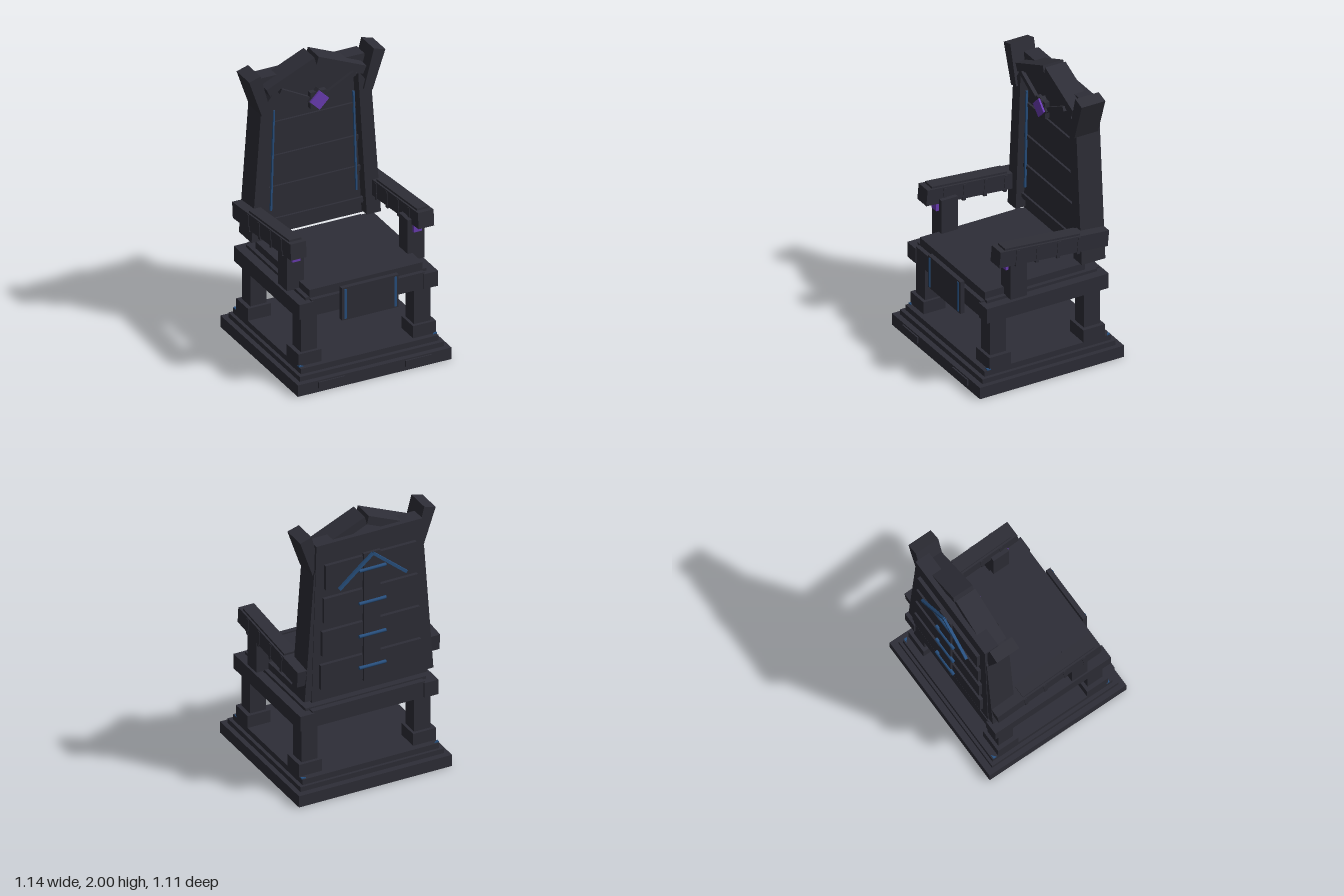
import * as THREE from 'three';

const stone = new THREE.MeshStandardMaterial({ color: 0x2e2e37 });
stone.name = 'darkStone';
const blue = new THREE.MeshStandardMaterial({ color: 0x28507f });
blue.name = 'blueInlay';
const purple = new THREE.MeshStandardMaterial({ color: 0x6c3db5 });
purple.name = 'purpleGem';

export function createModel() {
  const root = new THREE.Group();
  root.name = 'throne';

  const add = (name, geo, mat = stone, parent = root) => {
    const m = new THREE.Mesh(geo, mat);
    m.name = name;
    parent.add(m);
    return m;
  };
  // Box from its limits on each axis
  const box = (name, x0, x1, y0, y1, z0, z1, mat = stone, parent = root) => {
    const m = add(name, new THREE.BoxGeometry(x1 - x0, y1 - y0, z1 - z0), mat, parent);
    m.position.set((x0 + x1) / 2, (y0 + y1) / 2, (z0 + z1) / 2);
    return m;
  };
  // Polygon in the front plane, extruded from z0 to z1
  const plate = (name, pts, z0, z1, mat = stone) => {
    const shape = new THREE.Shape(pts.map(([x, y]) => new THREE.Vector2(x, y)));
    const geo = new THREE.ExtrudeGeometry(shape, { depth: z1 - z0, bevelEnabled: false });
    const m = add(name, geo, mat);
    m.position.z = z0;
    return m;
  };
  // Straight bar between two points of the front plane
  const bar = (name, x0, y0, x1, y1, width, z0, z1, mat = stone) => {
    const m = add(name, new THREE.BoxGeometry(Math.hypot(x1 - x0, y1 - y0), width, z1 - z0), mat);
    m.position.set((x0 + x1) / 2, (y0 + y1) / 2, (z0 + z1) / 2);
    m.rotation.z = Math.atan2(y1 - y0, x1 - x0);
    return m;
  };

  // Stepped base
  box('baseSlab', -0.57, 0.57, 0, 0.085, -0.555, 0.545);
  box('baseStep', -0.535, 0.535, 0.085, 0.12, -0.51, 0.505);
  box('baseTop', -0.51, 0.51, 0.12, 0.16, -0.49, 0.475);

  // Seat frame, cushion slab and front apron
  box('seatFrame', -0.42, 0.42, 0.52, 0.64, -0.46, 0.45);
  box('seatLedge', -0.45, 0.45, 0.63, 0.65, -0.42, 0.42);
  box('seat', -0.42, 0.42, 0.65, 0.70, -0.345, 0.42);
  box('apron', -0.21, 0.21, 0.45, 0.69, 0.45, 0.483);

  // Backrest panel and its recessed front
  plate('backPanel', [[-0.43, 0.715], [0.43, 0.715], [0.395, 1.895], [-0.395, 1.895]], -0.47, -0.36);
  plate('backInset', [[-0.36, 0.83], [0.36, 0.83], [0.29, 1.82], [-0.29, 1.82]], -0.36, -0.34);
  [[0.83, 0.38], [1.07, 0.35], [1.30, 0.335], [1.55, 0.315]].forEach(([y, w]) => {
    box('backRib', -w, w, y - 0.015, y + 0.015, -0.345, -0.325);
    box('backRibLip', -w, w, y - 0.03, y - 0.015, -0.345, -0.333);
  });

  for (const s of [-1, 1]) {
    const mir = (pts) => pts.map(([x, y]) => [s * x, y]);
    const mbox = (name, x0, x1, ...r) => box(name, Math.min(s * x0, s * x1), Math.max(s * x0, s * x1), ...r);

    mbox('basePlaque', 0.225, 0.42, 0.03, 0.075, 0.54, 0.555);
    mbox('apronInlay', 0.177, 0.193, 0.46, 0.68, 0.48, 0.488, blue);
    mbox('sideRail', 0.41, 0.515, 0.52, 0.63, -0.47, 0.46);

    // Legs, feet and blue corner triangles
    for (const f of [-1, 1]) {
      const zc = f > 0 ? 0.355 : -0.362;
      mbox('leg', 0.36, 0.48, 0.16, 0.53, zc - 0.06, zc + 0.06);
      mbox('foot', 0.34, 0.51, 0.16, 0.25, zc - 0.083, zc + 0.083);
      const zo = f > 0 ? 0.452 : -0.482;
      const tri = new THREE.Shape([
        new THREE.Vector2(s * 0.512, -zo),
        new THREE.Vector2(s * 0.48, -zo),
        new THREE.Vector2(s * 0.512, -zo + f * 0.025),
      ]);
      const corner = add('cornerInlay', new THREE.ExtrudeGeometry(tri, { depth: 0.008, bevelEnabled: false }), blue);
      corner.rotation.x = -Math.PI / 2;
      corner.position.y = 0.16;
    }

    // Sloping armrest with pad, bands and post
    mbox('armPost', 0.385, 0.51, 0.645, 0.95, 0.15, 0.275);
    mbox('armGem', 0.42, 0.48, 0.86, 0.925, 0.275, 0.295, purple);
    const arm = new THREE.Group();
    arm.name = 'armrest';
    arm.position.set(s * 0.473, 0.945, -0.045);
    arm.rotation.x = -0.088;
    root.add(arm);
    box('armBeam', -0.058, 0.058, -0.058, 0.058, -0.415, 0.415, stone, arm);
    box('armPad', -0.045, 0.045, 0.058, 0.072, -0.2, 0.375, stone, arm);
    for (const z of [0.28, 0.125, -0.035, -0.19]) {
      box('armBand', -0.062, 0.062, -0.07, 0.05, z - 0.012, z + 0.012, stone, arm);
    }

    // Leaning back post, flared horn and front inlay
    plate('backPost', mir([[0.375, 0.73], [0.48, 0.73], [0.41, 1.68], [0.31, 1.82]]), -0.465, -0.285);
    plate('horn', mir([[0.345, 1.68], [0.41, 1.662], [0.505, 1.94], [0.42, 1.965]]), -0.45, -0.27);
    bar('backInlay', s * 0.317, 0.915, s * 0.295, 1.655, 0.012, -0.33, -0.315, blue);

    // Gable beam and V shaped trim towards the gem
    plate('gableBeam', mir([[0, 1.94], [0.015, 2.0], [0.37, 1.845], [0.345, 1.79]]), -0.435, -0.28);
    bar('gemTrim', s * 0.275, 1.82, s * 0.05, 1.7, 0.035, -0.29, -0.262);

    // Blue chevron on the rear
    bar('rearChevron', 0, 1.765, s * 0.25, 1.555, 0.02, -0.527, -0.508, blue);
  }
  // Filled pediment behind the gem
  plate('pediment', [[-0.31, 1.8], [-0.06, 1.64], [0.06, 1.64], [0.31, 1.8], [0, 1.95]], -0.36, -0.288);

  // Gem in its mount
  box('gemMount', -0.06, 0.06, 1.64, 1.76, -0.29, -0.252);
  bar('gemMountDiamond', -0.04, 1.66, 0.04, 1.74, 0.113, -0.29, -0.248);
  bar('gem', -0.035, 1.665, 0.035, 1.735, 0.099, -0.25, -0.235, purple);

  // Rear planks, spine and blue rods
  for (let i = 0; i < 4; i++) {
    const y = 0.81 + i * 0.25, w = 0.375 - i * 0.012;
    box('rearPlank', -w, w, y, y + 0.185, -0.495, -0.465);
  }
  box('rearSpine', -0.062, 0.062, 0.8, 1.77, -0.511, -0.49);
  for (const y of [0.91, 1.15, 1.4, 1.65]) {
    const rod = add('rearRod', new THREE.CylinderGeometry(0.012, 0.012, 0.2, 8), blue);
    rod.rotation.z = Math.PI / 2;
    rod.position.set(0, y, -0.513);
  }
  return root;
}
